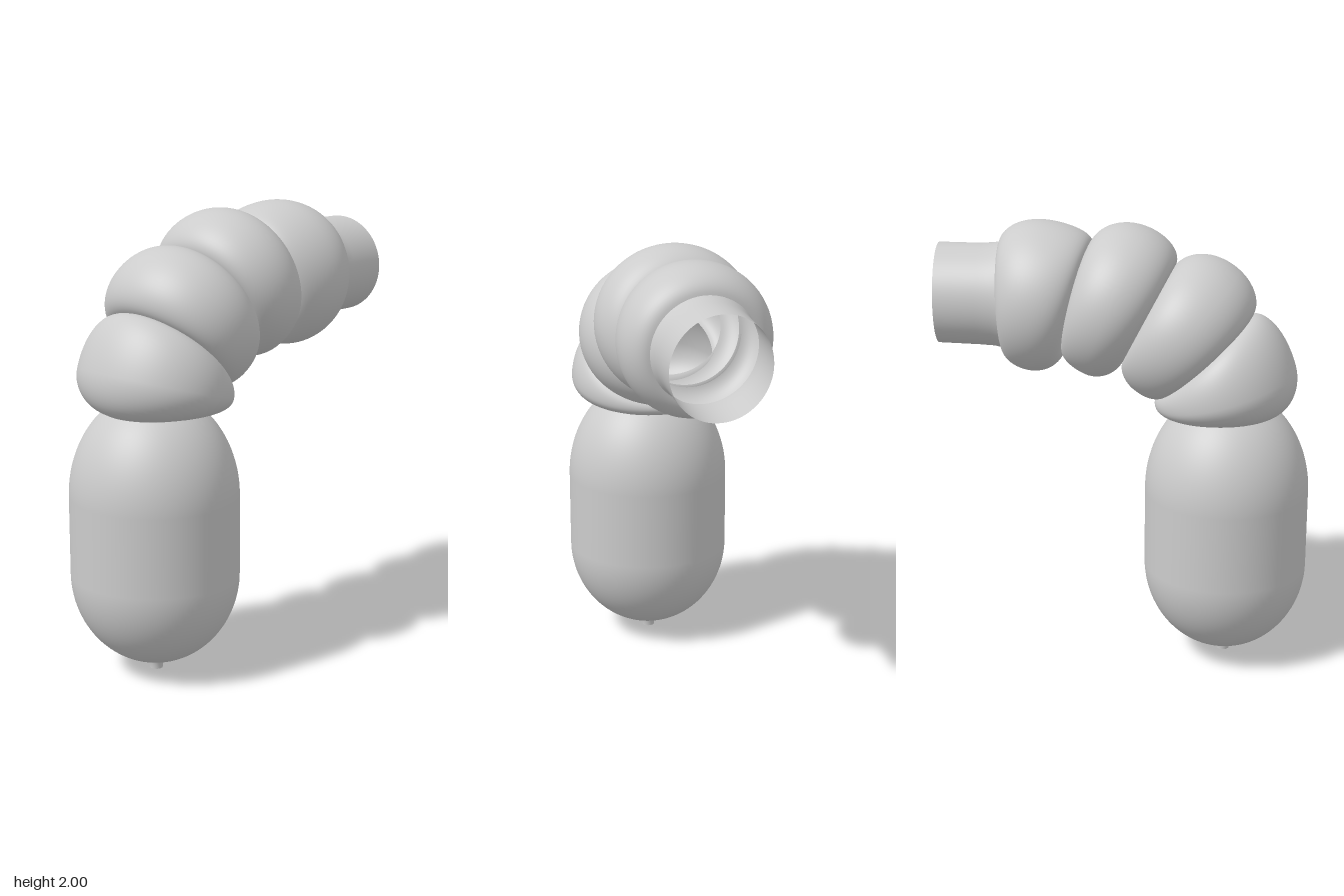
import * as THREE from 'three';

const SIDES = 72;
const STEPS = 14;
const material = new THREE.MeshStandardMaterial({ color: 0xcccccc, side: THREE.DoubleSide });

// A ring is given by its outer and inner points [z, y], half width and centre in x, and yaw
const ring = (oz, oy, iz, iy, w, x = 0, yaw = 0) => ({
  o: new THREE.Vector2(oz, oy), i: new THREE.Vector2(iz, iy), w, x, yaw,
});

const necks = [
  ring(0.68, 1.175, 0.24, 1.175, 0.22),
  ring(0.565, 1.605, 0.18, 1.245, 0.28, -0.005),
  ring(0.23, 1.82, 0.02, 1.41, 0.25, -0.015),
  ring(-0.14, 1.91, -0.25, 1.44, 0.24, -0.03),
  ring(-0.54, 1.9, -0.52, 1.435, 0.235, -0.042, -0.11),
];
const bulges = [
  ring(0.765, 1.38, 0.15, 1.2, 0.36),
  ring(0.51, 1.8, 0.05, 1.28, 0.36, -0.01),
  ring(0.11, 1.98, -0.15, 1.335, 0.358, -0.027),
  ring(-0.33, 2.0, -0.4, 1.34, 0.337, -0.037, -0.075),
];
const pipe = [
  necks[4],
  ring(-0.57, 1.895, -0.56, 1.442, 0.226, -0.044, -0.12),
  ring(-0.63, 1.89, -0.63, 1.444, 0.222, -0.045, -0.125),
  ring(-0.815, 1.888, -0.815, 1.444, 0.22, -0.045, -0.125),
];

// Quarter-ellipse step from a neck (t = 0) to the crest of a bulge (t = 1)
function swell(neck, crest, t) {
  const s = Math.sin(t * Math.PI / 2), c = Math.cos(t * Math.PI / 2);
  const radial = crest.o.clone().sub(crest.i).normalize();
  const axial = new THREE.Vector2(-radial.y, radial.x);
  const side = (n, m) => {
    const d = n.clone().sub(m);
    return m.clone().addScaledVector(axial, d.dot(axial) * c)
      .addScaledVector(radial, d.dot(radial) * (1 - s));
  };
  const mix = (key) => neck[key] + (crest[key] - neck[key]) * s;
  return { o: side(neck.o, crest.o), i: side(neck.i, crest.i), w: mix('w'), x: mix('x'), yaw: mix('yaw') };
}

// Skin a row of rings into an open tube
function loft(name, rings) {
  const positions = [], index = [];
  rings.forEach((r, row) => {
    for (let k = 0; k < SIDES; k++) {
      const a = k / SIDES * Math.PI * 2;
      const f = (1 + Math.cos(a)) / 2, dx = Math.sin(a) * r.w;
      const p = r.i.clone().lerp(r.o, f);
      positions.push(r.x + dx, p.y, p.x + r.yaw * dx);
      if (row < rings.length - 1) {
        const p0 = row * SIDES + k, p1 = row * SIDES + (k + 1) % SIDES;
        index.push(p0, p1, p0 + SIDES, p1, p1 + SIDES, p0 + SIDES);
      }
    }
  });
  const geometry = new THREE.BufferGeometry();
  geometry.setAttribute('position', new THREE.Float32BufferAttribute(positions, 3));
  geometry.setIndex(index);
  geometry.computeVertexNormals();
  const mesh = new THREE.Mesh(geometry, material);
  mesh.name = name;
  return mesh;
}

// Capsule body with a small nozzle below and a narrowed neck above
function body() {
  const points = [[0.028, 0], [0.029, 0.025], [0.036, 0.04], [0.06, 0.049]]
    .map(([r, y]) => new THREE.Vector2(r, y));
  for (let k = 0; k <= 24; k++) {
    const a = 0.22 + (Math.PI / 2 - 0.22) * k / 24;
    points.push(new THREE.Vector2(0.367 * Math.sin(a), 0.45 - 0.405 * Math.cos(a)));
  }
  const top = Math.asin(0.375 / 0.46);
  for (let k = 0; k <= 20; k++) {
    const a = top * k / 20;
    points.push(new THREE.Vector2(0.367 * Math.cos(a), 0.8 + 0.46 * Math.sin(a)));
  }
  const mesh = new THREE.Mesh(new THREE.LatheGeometry(points, SIDES), material);
  mesh.name = 'body';
  mesh.scale.x = 1.02;
  mesh.position.set(0.003, 0, 0.473);
  return mesh;
}

export function createModel() {
  const group = new THREE.Group();
  group.name = 'bentBellowsBottle';
  group.add(body());

  // Bellows segments, each swelling from one neck and closing in on the next
  bulges.forEach((crest, n) => {
    const rings = [];
    for (let k = 0; k <= STEPS; k++) rings.push(swell(necks[n], crest, k / STEPS));
    for (let k = STEPS - 1; k >= 0; k--) rings.push(swell(necks[n + 1], crest, k / STEPS));
    group.add(loft(`bellowsSegment${n + 1}`, rings));
  });

  // Open end pipe
  group.add(loft('endPipe', pipe));
  return group;
}
